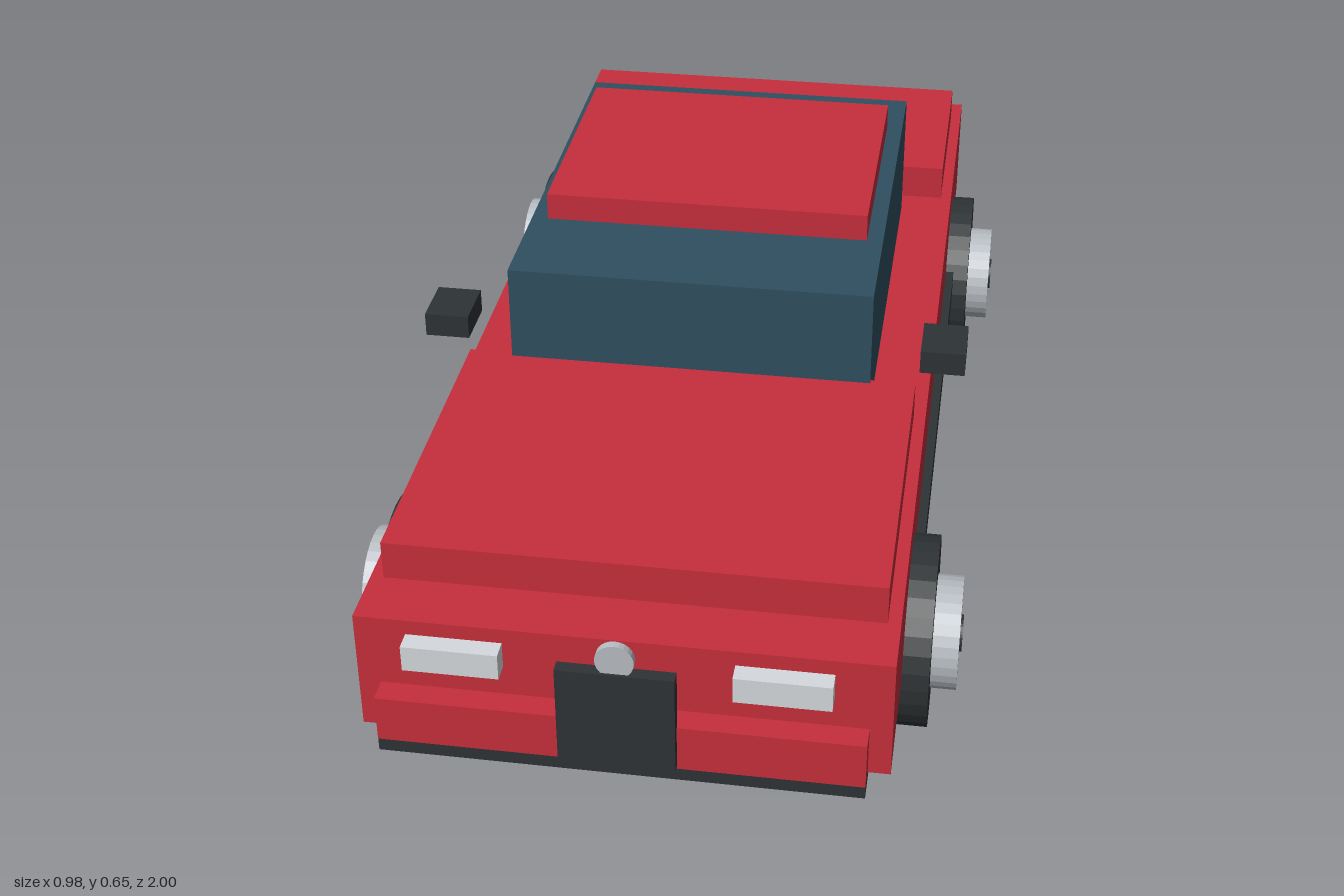
import * as THREE from 'three';

const mat = (color) => new THREE.MeshStandardMaterial({ color, flatShading: true });

export function createModel() {
  const car = new THREE.Group();
  car.name = 'car';
  const red = mat(0xc62f3c), glass = mat(0x2f4f60), dark = mat(0x2e3335);
  const metal = mat(0xb9bec4), lamp = mat(0xd6dade), tail = mat(0xcc1a20);

  // Box from its [min, max] extents on each axis
  const box = (name, material, [x0, x1], [y0, y1], [z0, z1], parent = car) => {
    const mesh = new THREE.Mesh(new THREE.BoxGeometry(x1 - x0, y1 - y0, z1 - z0), material);
    mesh.position.set((x0 + x1) / 2, (y0 + y1) / 2, (z0 + z1) / 2);
    mesh.name = name;
    parent.add(mesh);
    return mesh;
  };
  // The same box on the left (+x) and right (-x) sides
  const pair = (name, material, [x0, x1], y, z) => {
    box(name + 'Left', material, [x0, x1], y, z);
    box(name + 'Right', material, [-x1, -x0], y, z);
  };

  // Body, hood, trunk lid, cabin and roof
  box('body', red, [-0.4, 0.4], [0.175, 0.378], [-0.957, 0.947]);
  box('hood', red, [-0.38, 0.38], [0.37, 0.442], [0.29, 0.85]);
  box('trunkLid', red, [-0.38, 0.38], [0.37, 0.442], [-0.886, -0.512]);
  box('cabin', glass, [-0.305, 0.305], [0.37, 0.608], [-0.46, 0.3]);
  box('roof', red, [-0.277, 0.277], [0.6, 0.655], [-0.336, 0.11]);

  // Bumpers, front panel and grille
  box('frontPanel', red, [-0.366, 0.366], [0.18, 0.258], [0.94, 0.986]);
  box('frontBumper', dark, [-0.366, 0.366], [0.158, 0.181], [0.885, 0.985]);
  box('rearBumper', dark, [-0.33, 0.33], [0.152, 0.189], [-1, -0.915]);
  box('grille', dark, [-0.088, 0.088], [0.187, 0.357], [0.98, 1]);

  // Round ornament above the grille
  const ornament = new THREE.Mesh(new THREE.CylinderGeometry(0.029, 0.029, 0.012, 24), metal);
  ornament.rotation.x = Math.PI / 2;
  ornament.position.set(0, 0.378, 0.99);
  ornament.name = 'ornament';
  car.add(ornament);

  // Lights, mirrors and sills
  pair('headlight', lamp, [0.171, 0.315], [0.327, 0.37], [0.967, 0.997]);
  pair('tailLight', tail, [0.17, 0.323], [0.328, 0.37], [-0.98, -0.95]);
  pair('mirror', dark, [0.385, 0.46], [0.456, 0.497], [0.183, 0.277]);
  pair('sill', dark, [0.39, 0.415], [0.17, 0.228], [-0.56, 0.53]);

  // Wheels: tyre, rim and cap as cylinders along x
  for (const [end, z] of [['front', 0.577], ['rear', -0.617]]) {
    for (const [label, side] of [['Left', 1], ['Right', -1]]) {
      const wheel = new THREE.Group();
      wheel.name = end + label + 'Wheel';
      wheel.position.set(0, 0.155, z);
      for (const [name, material, r, x0, x1] of [
        ['tyre', dark, 0.155, 0.35, 0.443],
        ['rim', metal, 0.092, 0.4, 0.485],
        ['cap', dark, 0.03, 0.45, 0.489],
      ]) {
        const part = new THREE.Mesh(new THREE.CylinderGeometry(r, r, x1 - x0, 32), material);
        part.rotation.z = Math.PI / 2;
        part.position.x = side * (x0 + x1) / 2;
        part.name = name;
        wheel.add(part);
      }
      car.add(wheel);
    }
  }
  return car;
}
